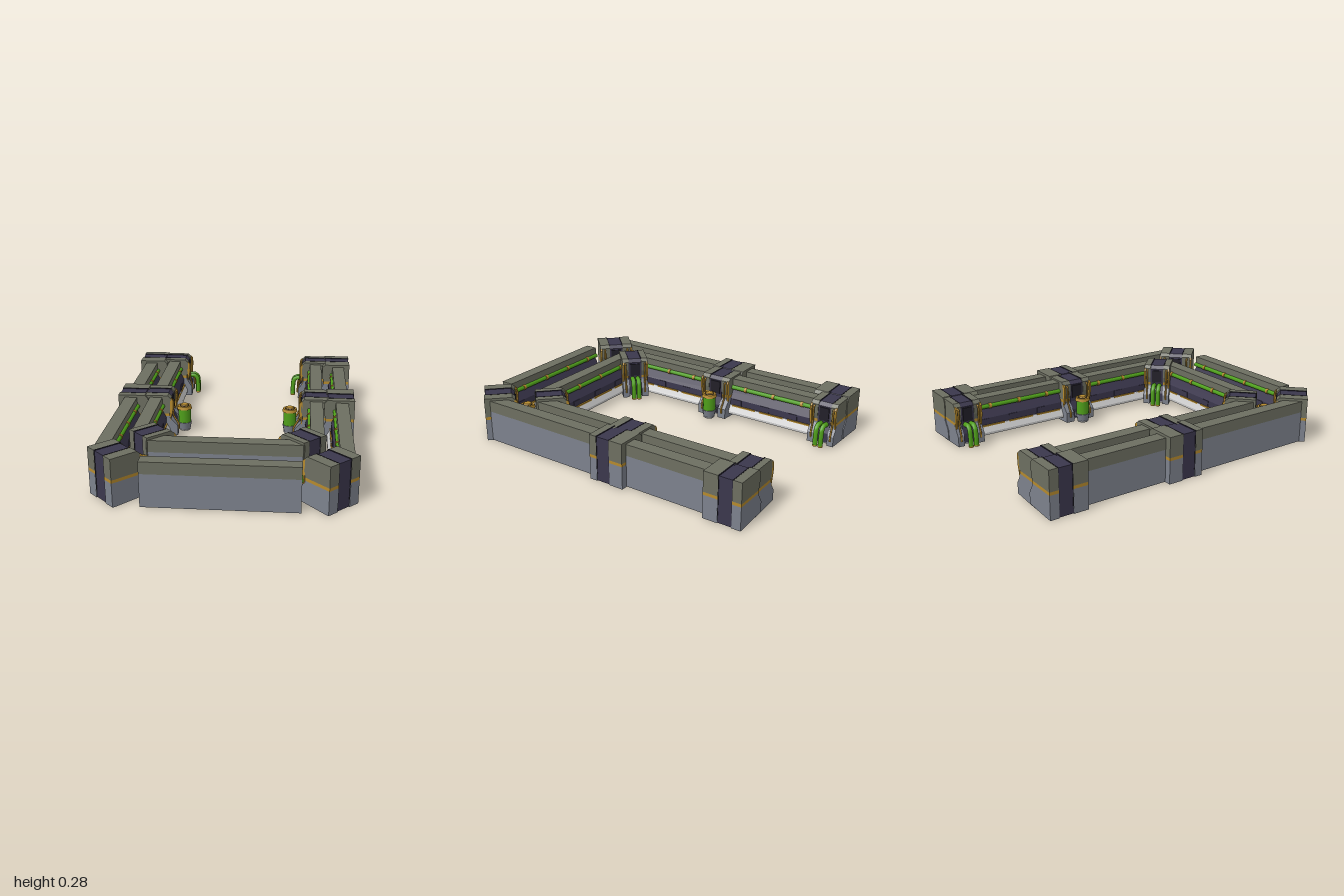
import * as THREE from 'three';

const mat = (color) => new THREE.MeshStandardMaterial({ color });
const M = {
  olive: mat(0x6d6f61), grey: mat(0x7d828d), dark: mat(0x211f28), purple: mat(0x3b374d),
  gold: mat(0xb58a2e), green: mat(0x4f9f1a), white: mat(0xd2d3d6),
};

function add(group, name, geometry, material, x = 0, y = 0, z = 0) {
  const mesh = new THREE.Mesh(geometry, material);
  mesh.name = name;
  mesh.position.set(x, y, z);
  group.add(mesh);
  return mesh;
}

// Cross-section of [depth inward, height] points, run along local z
function prism(group, name, points, z0, z1, material) {
  const shape = new THREE.Shape(points.map(([d, y]) => new THREE.Vector2(d, y)));
  const geometry = new THREE.ExtrudeGeometry(shape, { depth: z1 - z0, bevelEnabled: false });
  return add(group, name, geometry, material, 0, 0, z0);
}

function box(group, name, [d0, d1], [y0, y1], [z0, z1], material) {
  return add(group, name, new THREE.BoxGeometry(d1 - d0, y1 - y0, z1 - z0), material,
    (d0 + d1) / 2, (y0 + y1) / 2, (z0 + z1) / 2);
}

function pipe(group, name, points, radius, material) {
  const path = new THREE.CatmullRomCurve3(points.map((p) => new THREE.Vector3(...p)), false, 'catmullrom', 0.3);
  return add(group, name, new THREE.TubeGeometry(path, 14, radius, 8), material);
}

// Wall section: local +x points inward from the outer face, length runs along z
function wall(length) {
  const g = new THREE.Group();
  const a = -length / 2, b = length / 2;
  prism(g, 'armourPlate', [[0, 0.007], [0.015, 0.007], [0.02, 0.2], [0, 0.2]], a, b, M.grey);
  prism(g, 'wallCap', [[0, 0.2], [0.05, 0.2], [0.08, 0.225], [0.08, 0.27], [0, 0.27]], a, b, M.olive);
  prism(g, 'innerCore', [[0.02, 0.09], [0.102, 0.09], [0.102, 0.14], [0.07, 0.2], [0.02, 0.2]], a, b, M.purple);
  prism(g, 'shelf', [[0.018, 0.065], [0.128, 0.04], [0.128, 0.055], [0.106, 0.095], [0.018, 0.095]], a, b, M.white);
  const power = add(g, 'powerPipe', new THREE.CylinderGeometry(0.014, 0.014, length, 10), M.green, 0.082, 0.212);
  power.rotation.x = Math.PI / 2;

  // Pipe clamps, core panels and broken gold rails
  const n = Math.round(length / 0.2), step = length / n;
  for (let i = 0; i < n; i++) {
    const z = a + (i + 0.5) * step;
    const clamp = add(g, 'pipeClamp', new THREE.CylinderGeometry(0.018, 0.018, 0.018, 8), M.gold, 0.082, 0.212, z);
    clamp.rotation.x = Math.PI / 2;
    box(g, 'corePanel', [0.095, 0.106], [0.1, 0.138], [z + 0.02, z + 0.08], M.purple);
    box(g, 'shelfRail', [0.1, 0.111], [0.088, 0.097], [z - step * 0.42, z + step * 0.42], M.gold);
    box(g, 'underRail', [0.07, 0.077], [0.045, 0.055], [z - step * 0.35, z + step * 0.35], M.gold);
  }
  return g;
}

// Glowing canister in a cup with a gold lid
function canister() {
  const g = new THREE.Group();
  g.name = 'canister';
  const drum = (name, r0, r1, y0, y1, m) =>
    add(g, name, new THREE.CylinderGeometry(r1, r0, y1 - y0, 12), m, 0, (y0 + y1) / 2, 0);
  drum('cup', 0.036, 0.046, 0.025, 0.075, M.grey);
  drum('cell', 0.041, 0.041, 0.07, 0.17, M.green);
  drum('lid', 0.049, 0.044, 0.165, 0.185, M.gold);
  drum('lidGroove', 0.032, 0.032, 0.184, 0.187, M.dark);
  drum('lidButton', 0.028, 0.024, 0.186, 0.194, M.gold);
  const ring = add(g, 'footRing', new THREE.TorusGeometry(0.032, 0.006, 6, 16), M.white, 0, 0.024, 0);
  ring.rotation.x = Math.PI / 2;
  return g;
}

// Pillar: narrow band between two flanges; edges are the four cuts along local z
function post([z0, z1, z2, z3], height, fixture) {
  const g = new THREE.Group();
  const mid = (z1 + z2) / 2;
  const reach = fixture === 'canister' ? 0.23 : 0.215;
  for (const [p, q] of [[z0, z1], [z2, z3]]) {
    prism(g, 'flangeBase', [[0, 0.005], [0.03, 0.005], [reach, 0.015], [reach, 0.08], [0.18, 0.135], [0.18, 0.145], [0, 0.145]], p, q, M.grey);
    prism(g, 'flangeStripe', [[0, 0.145], [0.18, 0.145], [0.18, 0.163], [0, 0.163]], p, q, M.gold);
    prism(g, 'flangeTop', [[0, 0.163], [0.18, 0.163], [0.19, 0.2], [0.19, height - 0.02], [0.17, height], [0, height]], p, q, M.olive);
    if (fixture) {
      const z = (p + q) / 2;
      const edge = p === z0 ? p : q - 0.012;
      prism(g, 'edgeTrim', [[0.183, 0.105], [0.204, 0.195], [0.204, 0.25], [0.193, 0.265], [0.183, 0.265]], edge, edge + 0.012, M.gold);
      pipe(g, 'conduit', [[0.185, height - 0.03, z], [0.2, height - 0.034, z], [0.202, 0.22, z], [0.2, 0.145, z],
        [reach + 0.003, 0.085, z], [reach + 0.003, 0.05, z]], 0.006, M.gold);
    }
  }
  prism(g, 'centreBand', [[0.004, 0.007], [0.02, 0.007], [0.02, 0.04], [0.205, 0.03], [0.205, 0.09], [0.185, 0.14],
    [0.185, height - 0.025], [0.165, height - 0.003], [0.004, height - 0.003]], z1, z2, M.purple);
  prism(g, 'underPlate', [[0.02, 0.03], [0.2, 0.022], [0.2, 0.035], [0.02, 0.045]], z1, z2, M.white);
  for (const z of [z1, z2]) box(g, 'bandSeam', [0.001, 0.17], [0.05, height + 0.001], [z - 0.003, z + 0.003], M.dark);
  box(g, 'innerHatch', [0.18, 0.192], [0.165, 0.25], [z1 + 0.012, z2 - 0.012], M.dark);

  if (fixture === 'canister') {
    box(g, 'canisterBracket', [0.18, 0.255], [0.04, 0.07], [mid - 0.025, mid + 0.025], M.grey);
    const c = canister();
    c.position.set(0.262, 0, mid);
    g.add(c);
  } else if (fixture === 'hoses') {
    for (const s of [-1, 1]) {
      const z = mid + s * 0.018;
      pipe(g, 'hose', [[0.17, 0.14, z], [0.225, 0.146, z], [0.248, 0.125, z], [0.253, 0.07, z], [0.253, 0.02, z]], 0.016, M.green);
      add(g, 'hoseCollar', new THREE.CylinderGeometry(0.016, 0.016, 0.01, 10), M.gold, 0.253, 0.02, z);
    }
  }
  return g;
}

export function createModel() {
  const model = new THREE.Group();
  model.name = 'fortification';
  const place = (part, name, x, z, angle) => {
    part.name = name;
    part.position.set(x, 0, z);
    part.rotation.y = angle;
    model.add(part);
  };
  const H = 0.285, h = 0.282;

  // name, outer-end x and z, angle, band edges, height, fixture
  const posts = [
    ['outerBackPost', -0.75, 0, 0, [-1, -0.946, -0.86, -0.77], H, null],
    ['innerBackPost', -0.605, 0, 0, [-0.995, -0.955, -0.87, -0.822], h, 'hoses'],
    ['outerMiddlePost', -0.75, 0, 0, [-0.245, -0.155, -0.065, -0.017], H, null],
    ['innerMiddlePost', -0.605, 0, 0, [-0.235, -0.18, -0.085, -0.03], h, 'canister'],
    ['outerCornerPost', -0.653, 0.912, Math.PI / 4, [-0.115, -0.047, 0.047, 0.115], H, 'canister'],
    ['innerCornerPost', -0.497, 0.625, Math.PI / 4, [-0.088, -0.045, 0.045, 0.088], H, 'hoses'],
  ];
  // name, outer-face x, z range
  const sideWalls = [['outerSideWall', -0.71, -0.8, 0.81], ['innerSideWall', -0.55, -0.84, 0.57]];

  for (const side of [1, -1]) {
    // The parts face inward along +x, so the opposite side is turned round
    const label = side === 1 ? 'right' : 'left';
    const turn = (angle) => (side === 1 ? angle : Math.PI - angle);
    for (const [name, x, z, angle, edges, height, fixture] of posts) {
      const cuts = side === 1 ? edges : edges.map((e) => -e).reverse();
      place(post(cuts, height, fixture), `${label} ${name}`, side * x, z, turn(angle));
    }
    for (const [name, x, z0, z1] of sideWalls) {
      place(wall(z1 - z0), `${label} ${name}`, side * x, (z0 + z1) / 2, turn(0));
    }
  }

  // Two walls across the front
  place(wall(0.86), 'outerFrontWall', 0, 0.977, Math.PI / 2);
  place(wall(0.88), 'innerFrontWall', 0, 0.685, Math.PI / 2);
  return model;
}
